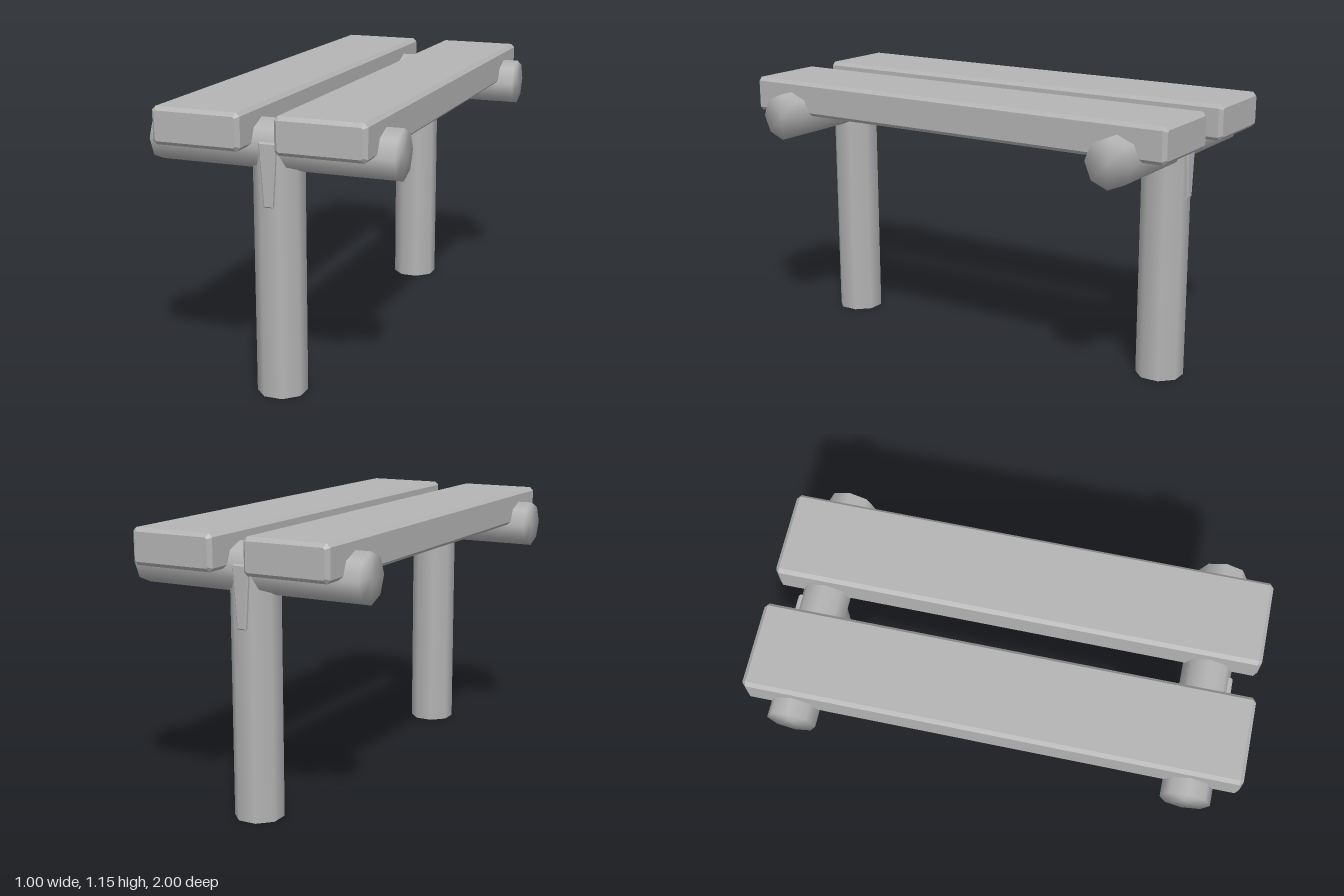
import * as THREE from 'three';
import { mergeVertices } from 'three/addons/utils/BufferGeometryUtils.js';

const grey = new THREE.MeshStandardMaterial({ color: 0xb4b4b4, side: THREE.DoubleSide });
grey.name = 'plain grey';

function part(geometry, name, x, y, z, parent) {
  const mesh = new THREE.Mesh(geometry, grey);
  mesh.name = name;
  mesh.position.set(x, y, z);
  parent.add(mesh);
  return mesh;
}

// Chamfered board lying along z
function plankGeometry(width, height, length, c) {
  const w = width / 2 - c, h = height / 2 - c;
  const shape = new THREE.Shape([
    [w, -h - c], [w + c, -h], [w + c, h], [w, h + c],
    [-w, h + c], [-w - c, h], [-w - c, -h], [-w, -h - c],
  ].map(([x, y]) => new THREE.Vector2(x, y)));
  const g = new THREE.ExtrudeGeometry(shape, {
    depth: length - 2 * c, bevelEnabled: true, bevelSegments: 1,
    bevelSize: c, bevelThickness: c, bevelOffset: -c,
  });
  return g.translate(0, 0, c - length / 2);
}

// Eight-sided log along x, ends shaded smoothly into the sides
function logGeometry(radius, length) {
  let g = new THREE.CylinderGeometry(radius, radius, length, 8);
  g.deleteAttribute('normal');
  g.deleteAttribute('uv');
  g = mergeVertices(g);
  g.computeVertexNormals();
  return g.rotateZ(Math.PI / 2);
}

// Tapered wedge with softened edges, front face at z = 0
function wedgeGeometry() {
  const shape = new THREE.Shape([
    [-0.019, -0.125], [0.019, -0.125], [0.037, 0.125], [-0.037, 0.125],
  ].map(([x, y]) => new THREE.Vector2(x, y)));
  const g = new THREE.ExtrudeGeometry(shape, {
    depth: 0.03, bevelEnabled: true, bevelSegments: 1,
    bevelSize: 0.005, bevelThickness: 0.005, bevelOffset: -0.005,
  });
  return g.translate(0, 0, -0.035);
}

export function createModel() {
  const bench = new THREE.Group();
  bench.name = 'bench';

  // Seat boards
  const plank = plankGeometry(0.364, 0.147, 2, 0.015);
  part(plank, 'rightPlank', -0.252, 1.0755, 0, bench);
  part(plank, 'leftPlank', 0.25, 1.0755, 0, bench);

  // Two T-shaped supports, mirrored front to back
  const log = logGeometry(0.1, 1);
  const post = new THREE.CylinderGeometry(0.1, 0.1, 1, 8, 1, true, Math.PI / 8);
  const wedge = wedgeGeometry();
  for (const [name, turn] of [['front', 0], ['back', Math.PI]]) {
    const support = new THREE.Group();
    support.name = name + 'Support';
    support.rotation.y = turn;
    part(log, name + 'CrossLog', 0, 1, 0.8, support);
    part(post, name + 'Leg', 0, 0.5, 0.8, support);
    part(wedge, name + 'Wedge', 0, 0.9, 0.908, support);
    bench.add(support);
  }
  return bench;
}
